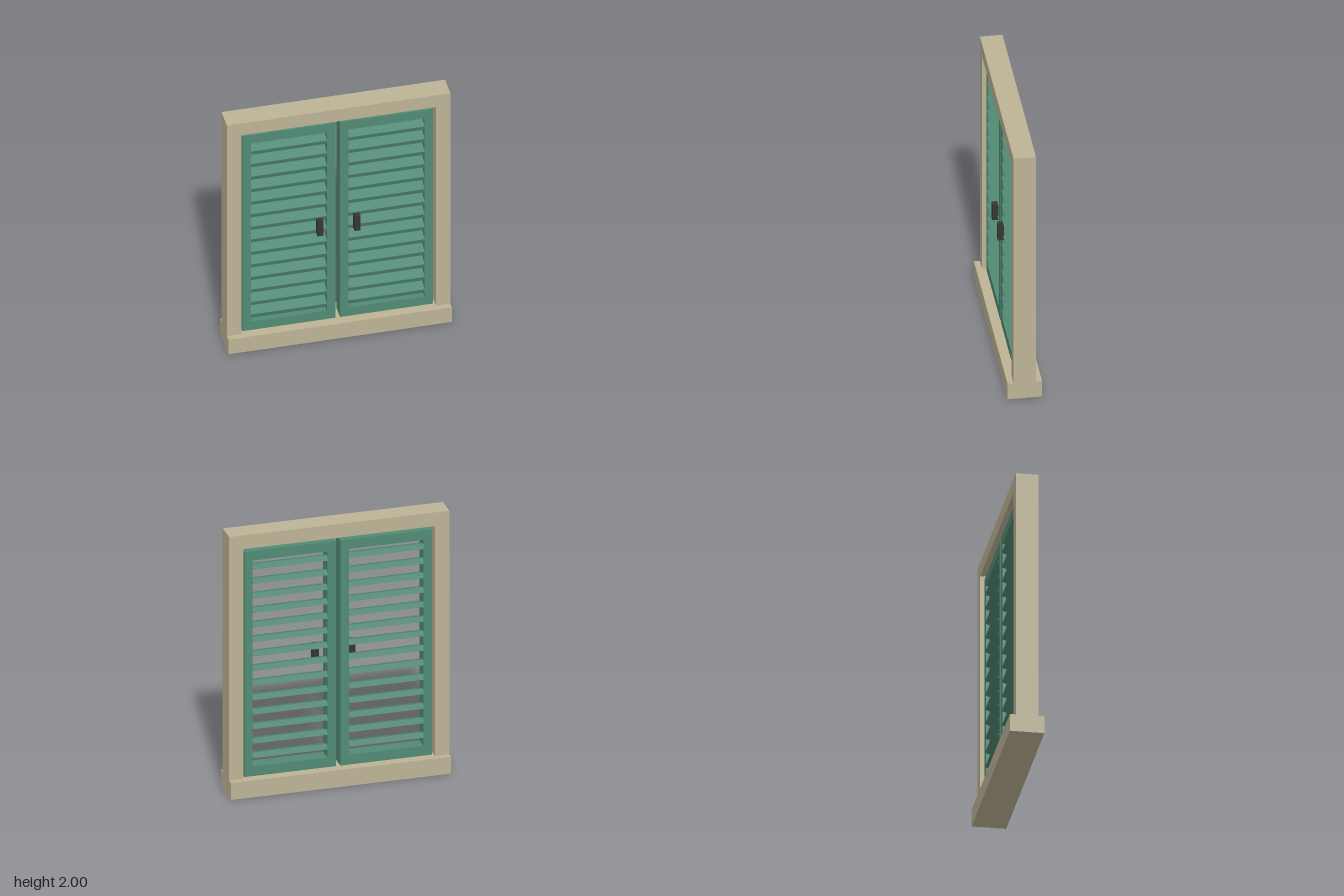
import * as THREE from 'three';

function material(name, color) {
  const m = new THREE.MeshStandardMaterial({ color });
  m.name = name;
  return m;
}

// Adds a box spanning the given [min, max] ranges
function addBox(parent, name, mat, [x0, x1], [y0, y1], [z0, z1]) {
  const mesh = new THREE.Mesh(new THREE.BoxGeometry(x1 - x0, y1 - y0, z1 - z0), mat);
  mesh.position.set((x0 + x1) / 2, (y0 + y1) / 2, (z0 + z1) / 2);
  mesh.name = name;
  parent.add(mesh);
  return mesh;
}

export function createModel() {
  const stone = material('beige stone', 0xbdb496);
  const green = material('shutter green', 0x528b75);
  const iron = material('dark iron', 0x363634);

  const model = new THREE.Group();
  model.name = 'shutteredWindow';

  // Surround: sill, lintel and two jambs
  const frame = new THREE.Group();
  frame.name = 'frame';
  model.add(frame);
  const depth = [-0.08, 0.08];
  addBox(frame, 'sill', stone, [-0.807, 0.807], [0, 0.13], [-0.123, 0.123]);
  addBox(frame, 'lintel', stone, [-0.703, 0.703], [1.895, 2], depth);
  addBox(frame, 'leftJamb', stone, [0.703, 0.807], [0.13, 2], depth);
  addBox(frame, 'rightJamb', stone, [-0.807, -0.703], [0.13, 2], depth);

  // Louvred shutters, one on each side of the centre
  const inner = 0.017, outer = 0.688, stile = 0.062;
  const bottom = 0.131, top = 1.86, rail = 0.074;
  const thick = [-0.052, 0.052];
  const slatCount = 14, slatPitch = 0.1114, slatTilt = 0.35;

  for (const side of [1, -1]) {
    const span = (a, b) => (side > 0 ? [a, b] : [-b, -a]);
    const shutter = new THREE.Group();
    shutter.name = side > 0 ? 'leftShutter' : 'rightShutter';
    model.add(shutter);

    addBox(shutter, 'innerStile', green, span(inner, inner + stile), [bottom, top], thick);
    addBox(shutter, 'outerStile', green, span(outer - stile, outer), [bottom, top], thick);
    const opening = span(inner + stile, outer - stile);
    addBox(shutter, 'topRail', green, opening, [top - rail, top], thick);
    addBox(shutter, 'bottomRail', green, opening, [bottom, bottom + rail], thick);

    // Slats slope down towards the front
    for (let i = 0; i < slatCount; i++) {
      const y = 0.995 + (i - (slatCount - 1) / 2) * slatPitch;
      const slat = addBox(shutter, 'slat', green, opening, [y - 0.0205, y + 0.0205], [-0.054, 0.054]);
      slat.rotation.x = slatTilt;
    }

    addBox(shutter, 'handle', iron, span(0.111, 0.156), [0.91, 1.037], [0.05, 0.095]);
  }

  return model;
}
